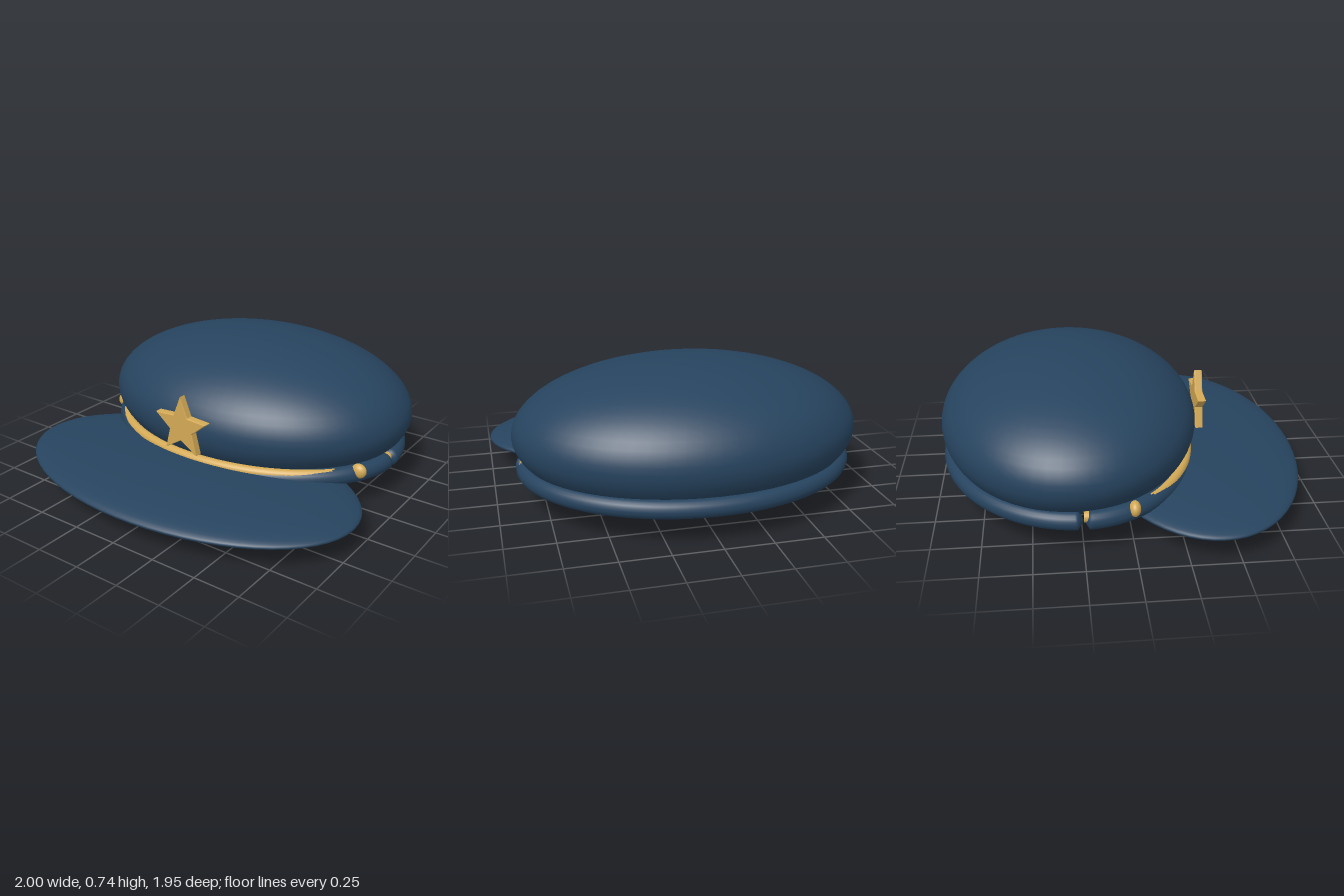
import * as THREE from 'three';

const navy = new THREE.MeshStandardMaterial({ color: 0x26435e });
navy.name = 'navy cloth';
const gold = new THREE.MeshStandardMaterial({ color: 0xd3a955 });
gold.name = 'gold trim';

function ellipsoid(name, material, radii, position, segments = 64) {
  const geometry = new THREE.SphereGeometry(1, segments, segments / 2);
  geometry.scale(...radii);
  const mesh = new THREE.Mesh(geometry, material);
  mesh.name = name;
  mesh.position.set(...position);
  return mesh;
}

// Half-ellipse tube swept around the head; side is +1 for front, -1 for back
function halfBand(name, material, { side, width, depth, y, radius, dip = 0, taper = 0 }) {
  const rings = 80, sides = 20, centreZ = -0.25;
  const positions = [], indices = [];
  for (let i = 0; i <= rings; i++) {
    // Rings crowd together near the two ends, where the tube tapers
    const angle = Math.PI * (1 - Math.cos(Math.PI * i / rings)) / 2;
    const c = Math.cos(angle), s = Math.sin(angle);
    const fromEnd = Math.min(angle, Math.PI - angle) * depth;
    const r = radius * (taper ? Math.min(1, 0.02 + fromEnd / taper) : 1);
    const normal = new THREE.Vector2(c / width, s / depth).normalize();
    for (let j = 0; j < sides; j++) {
      const a = j / sides * Math.PI * 2;
      const out = r * Math.cos(a);
      positions.push(
        width * c + normal.x * out,
        y - dip * s ** 4 + r * Math.sin(a),
        centreZ + side * (depth * s + normal.y * out));
      if (i < rings) {
        const p = i * sides + j, q = i * sides + (j + 1) % sides;
        const p2 = p + sides, q2 = q + sides;
        if (side > 0) indices.push(p, q, p2, q, q2, p2);
        else indices.push(p, p2, q, q, p2, q2);
      }
    }
  }
  const geometry = new THREE.BufferGeometry();
  geometry.setAttribute('position', new THREE.Float32BufferAttribute(positions, 3));
  geometry.setIndex(indices);
  geometry.computeVertexNormals();
  const mesh = new THREE.Mesh(geometry, material);
  mesh.name = name;
  return mesh;
}

function star() {
  const shape = new THREE.Shape();
  for (let i = 0; i < 10; i++) {
    const r = i % 2 ? 0.07 : 0.163;
    const a = Math.PI / 2 + i * Math.PI / 5;
    shape[i ? 'lineTo' : 'moveTo'](r * Math.cos(a), r * Math.sin(a));
  }
  shape.closePath();
  const geometry = new THREE.ExtrudeGeometry(shape, {
    depth: 0.03, bevelEnabled: true, bevelThickness: 0.007, bevelSize: 0.005, bevelSegments: 3,
  });
  const mesh = new THREE.Mesh(geometry, gold);
  mesh.name = 'starBadge';
  mesh.position.set(0, 0.415, 0.422);
  return mesh;
}

export function createModel() {
  const cap = new THREE.Group();
  cap.name = 'peakedCap';

  // Puffed crown and flat visor
  cap.add(ellipsoid('crown', navy, [0.91, 0.37, 0.693], [0, 0.37, -0.284]));
  cap.add(ellipsoid('visor', navy, [1, 0.075, 0.57], [0, 0.135, 0.406]));

  // Rolled band in two halves, with a gold cord tucked behind the front half
  cap.add(halfBand('backBand', navy,
    { side: -1, width: 0.846, depth: 0.678, y: 0.187, radius: 0.048, taper: 0.027 }));
  cap.add(halfBand('frontBand', navy,
    { side: 1, width: 0.846, depth: 0.603, y: 0.187, radius: 0.048, dip: 0.013, taper: 0.027 }));
  cap.add(halfBand('goldCord', gold,
    { side: 1, width: 0.846, depth: 0.617, y: 0.205, radius: 0.028 }));

  // Side buttons and badge
  for (const x of [1, -1]) {
    cap.add(ellipsoid(x > 0 ? 'leftButton' : 'rightButton', gold,
      [0.042, 0.04, 0.029], [x * 0.808, 0.212, 0], 24));
  }
  cap.add(star());
  return cap;
}
